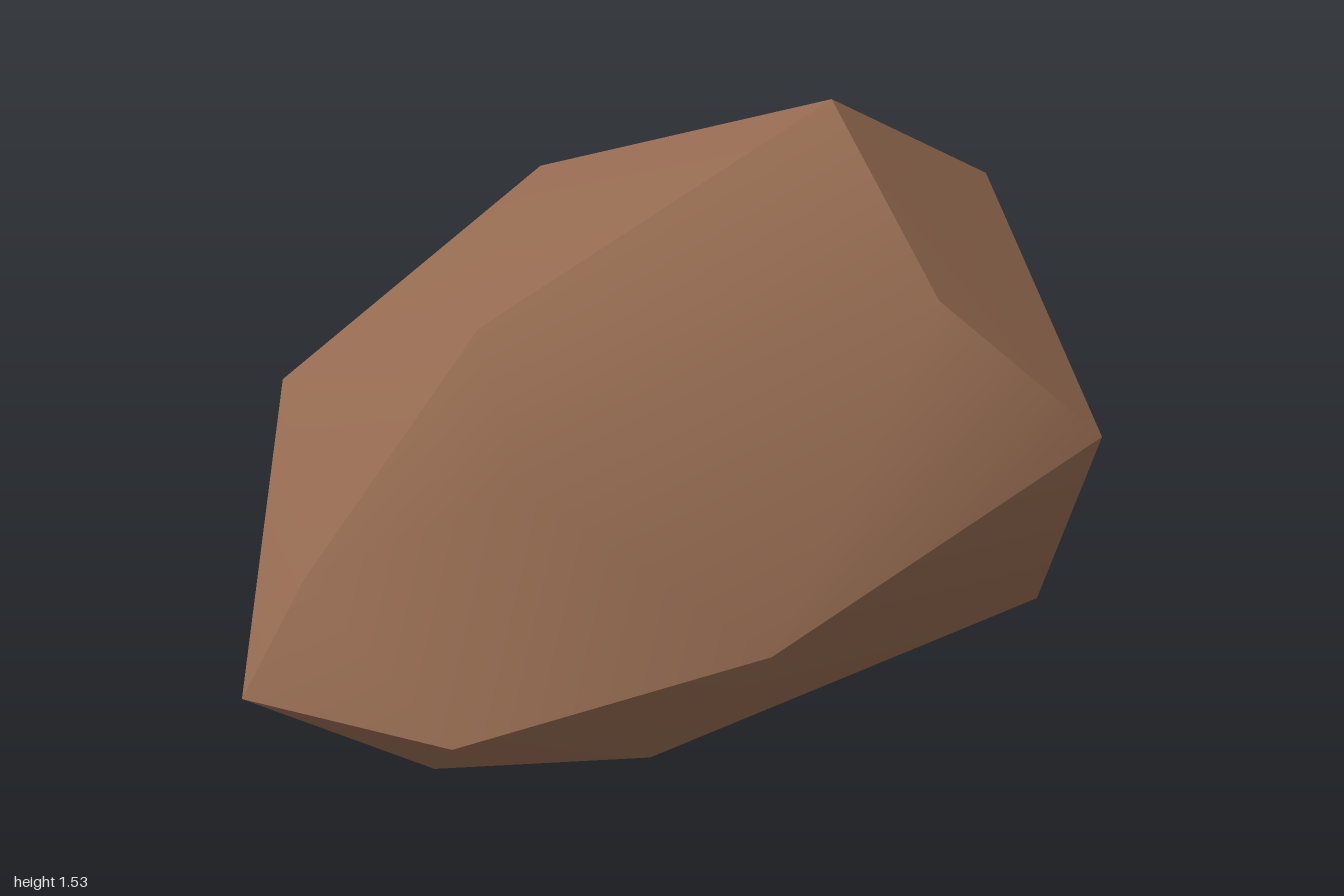
import * as THREE from 'three';

// Named corners of the boulder
const P = {
  A: [0.34, 1.53, -0.10], B: [0.71, 1.20, -0.67], C: [0.98, 0.83, 0.23],
  D: [0.60, 1.19, 0.36], E: [0.85, 0.35, 0.04], F: [0.45, 0.05, -0.23],
  G: [-0.06, 0.00, 0.25], H: [-0.40, 0.03, -0.33], I: [-0.92, 0.38, 0.83],
  J: [-0.43, 0.35, 1.00], K: [0.25, 0.49, 0.77], L: [-0.41, 1.17, 0.57],
  M: [-0.98, 0.80, -0.13], N: [-0.78, 0.65, 0.78], O: [-0.52, 0.14, 0.65],
  Q: [-0.44, 0.39, -1.00], R: [0.12, 0.35, -0.87], S: [0.63, 0.69, -0.57],
  T: [-0.42, 1.16, -0.80], U: [-0.30, 0.87, 0.78],
};

// Each facet is smooth inside and sharp at its border
const facets = {
  frontSlope: 'LAD LDU UDK DCK UKJ LUN NUJ NJI',
  rightCrown: 'ADC ACB',
  rightWall: 'CEB BES SEF SFR',
  lowerFront: 'CEK EFG EGK KGJ JGO JOI',
  leftShoulder: 'ATL LTM LMN NMI',
  backPlate: 'ABT BQT',
  backNotch: 'BSR BRT',
  backSpur: 'RTQ',
  backLeftWall: 'TMH THR',
  lowerLeft: 'MHI',
  underside: 'HGO HOI',
  lowerBack: 'FRH FHG',
};

const centre = new THREE.Vector3(0, 0.7, 0);

function facetGeometry(triangles) {
  const names = [...new Set(triangles.replaceAll(' ', ''))];
  const points = names.map((n) => new THREE.Vector3(...P[n]));
  const index = [];
  for (const tri of triangles.split(' ')) {
    const [a, b, c] = [...tri].map((n) => names.indexOf(n));
    const normal = new THREE.Triangle(points[a], points[b], points[c]).getNormal(new THREE.Vector3());
    const middle = points[a].clone().add(points[b]).add(points[c]).divideScalar(3);
    // Turn every triangle outward
    const outward = normal.dot(middle.sub(centre)) > 0;
    index.push(a, ...(outward ? [b, c] : [c, b]));
  }
  const geometry = new THREE.BufferGeometry().setFromPoints(points);
  geometry.setIndex(index);
  geometry.computeVertexNormals();
  return geometry;
}

export function createModel() {
  const stone = new THREE.MeshStandardMaterial({ color: 0x956b51, side: THREE.DoubleSide });
  stone.name = 'brown stone';
  const boulder = new THREE.Group();
  boulder.name = 'boulder';
  for (const [name, triangles] of Object.entries(facets)) {
    const mesh = new THREE.Mesh(facetGeometry(triangles), stone);
    mesh.name = name;
    boulder.add(mesh);
  }
  return boulder;
}
